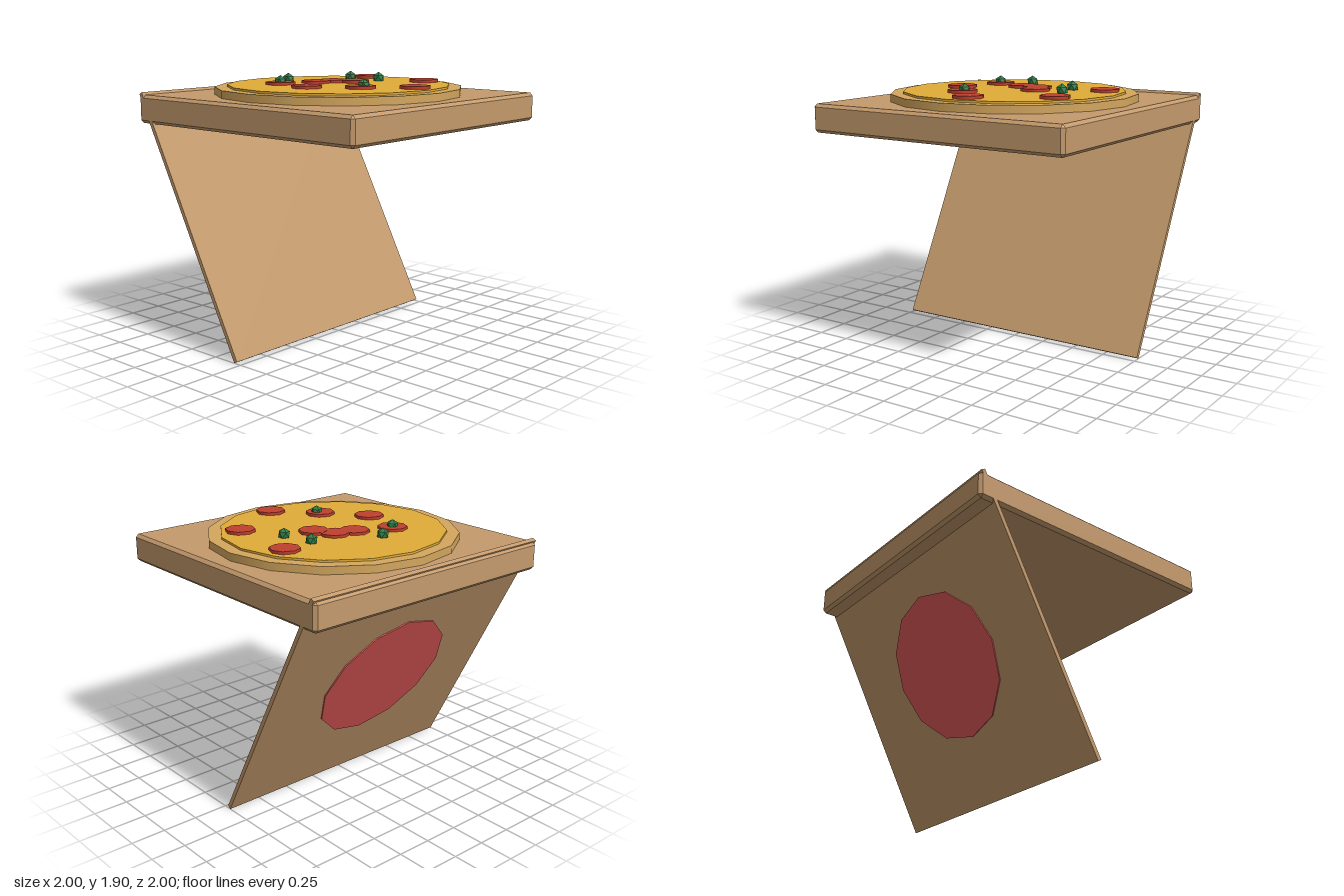
import * as THREE from 'three';
import { ConvexGeometry } from 'three/addons/geometries/ConvexGeometry.js';

const mat = (name, color, flatShading = false) => {
  const m = new THREE.MeshStandardMaterial({ color, flatShading });
  m.name = name;
  return m;
};

// Box with every edge cut at 45 degrees
function chamferBox(w, h, d, c) {
  const pts = [];
  for (const x of [-1, 1]) for (const y of [-1, 1]) for (const z of [-1, 1]) {
    const cuts = [[0, c, c], [c, 0, c], [c, c, 0]];
    for (const [a, b, e] of cuts) {
      pts.push(new THREE.Vector3(x * (w / 2 - a), y * (h / 2 - b), z * (d / 2 - e)));
    }
  }
  return new ConvexGeometry(pts);
}

export function createModel() {
  const model = new THREE.Group();
  model.name = 'pizzaInBox';

  const cardboard = mat('cardboard', 0xc49a6c);
  const crustMat = mat('crust', 0xd4a75e);
  const cheeseMat = mat('cheese', 0xe0ac38);
  const meatMat = mat('pepperoni', 0xc0402f);
  const greenMat = mat('green pepper', 0x2e7d46, true);
  const spotMat = mat('lid red', 0xe05a58);

  const add = (parent, name, geometry, material, x = 0, y = 0, z = 0) => {
    const mesh = new THREE.Mesh(geometry, material);
    mesh.name = name;
    mesh.position.set(x, y, z);
    parent.add(mesh);
    return mesh;
  };
  // Upright disc between two heights
  const disc = (name, r, y0, y1, sides, material, x = 0, z = 0) =>
    add(model, name, new THREE.CylinderGeometry(r, r, y1 - y0, sides), material, x, (y0 + y1) / 2, z);

  // Box base
  add(model, 'boxBase', chamferBox(2, 0.2, 2, 0.022), cardboard, 0, 1.666, 0);

  // Open lid hanging from the back edge, with a red disc on its outer side
  const lid = new THREE.Group();
  lid.name = 'lid';
  lid.position.set(0, 0.892, -0.512);
  lid.rotation.x = -0.483;
  add(lid, 'lidPanel', new THREE.BoxGeometry(2, 2, 0.03), cardboard);
  const spot = new THREE.CylinderGeometry(0.527, 0.527, 0.009, 12).rotateX(Math.PI / 2);
  add(lid, 'lidDisc', spot, spotMat, 0, 0, -0.0192);
  model.add(lid);

  // Pizza
  disc('crust', 0.88, 1.76, 1.82, 16, crustMat);
  disc('cheese', 0.792, 1.8, 1.835, 16, cheeseMat);

  // Pepperoni slices, given as x, z; each is a hair taller so overlaps stay clean
  const slices = [
    [-0.305, -0.28], [-0.045, -0.175], [0.105, -0.14], [0.175, 0], [0.605, -0.225],
    [-0.405, 0.07], [-0.19, 0.365], [0.055, 0.64], [0.545, 0.345],
  ];
  slices.forEach(([x, z], i) => disc('pepperoni', 0.105, 1.825, 1.854 + i * 0.0003, 8, meatMat, x, z));

  // Green pepper pieces, standing on a point
  const piece = new THREE.IcosahedronGeometry(0.044, 0);
  piece.rotateZ(-Math.atan(2 / (1 + Math.sqrt(5))));
  for (const [x, z] of [[-0.305, -0.28], [-0.1, -0.4], [0.36, -0.2], [0.41, 0.03], [-0.165, 0.375]]) {
    add(model, 'greenPepper', piece, greenMat, x, 1.856, z);
  }

  return model;
}
